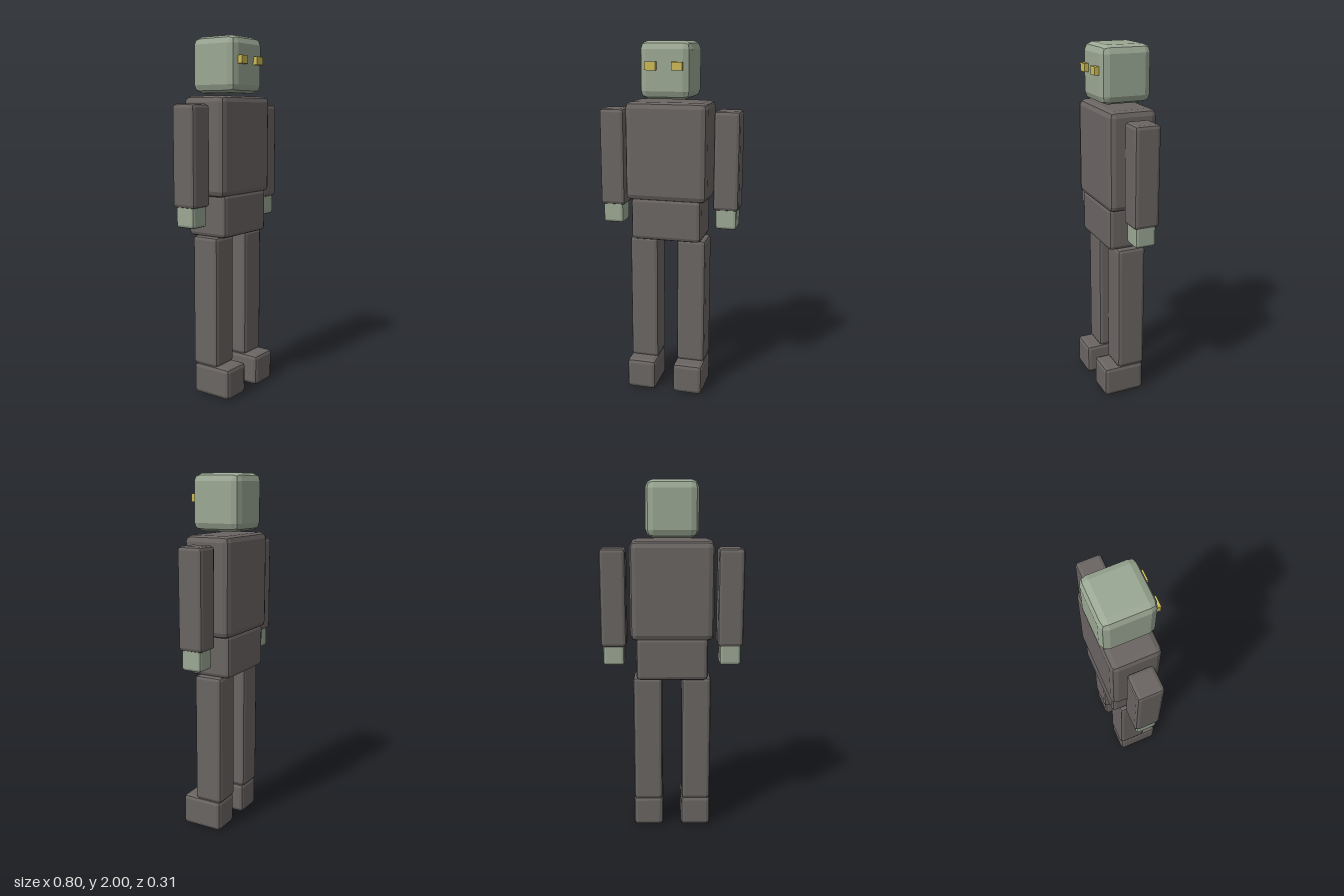
import * as THREE from 'three';
import { RoundedBoxGeometry } from 'three/addons/geometries/RoundedBoxGeometry.js';

export function createModel() {
  const model = new THREE.Group();
  model.name = 'blockFigure';

  const clothing = new THREE.MeshStandardMaterial({ color: 0x6a6563 });
  clothing.name = 'darkClothing';
  const skin = new THREE.MeshStandardMaterial({ color: 0x9ba894 });
  skin.name = 'sageSkin';
  const glow = new THREE.MeshStandardMaterial({ color: 0xcbbb57 });
  glow.name = 'yellowEyes';

  // Block from its extents on each axis; bevelled in two flat steps when radius > 0
  function block(name, material, [x0, x1], [y0, y1], [z0, z1], radius) {
    const size = [x1 - x0, y1 - y0, z1 - z0];
    const geometry = radius
      ? new RoundedBoxGeometry(...size, 1, radius)
      : new THREE.BoxGeometry(...size);
    if (radius) geometry.computeVertexNormals(); // unshared corners give flat facets
    const mesh = new THREE.Mesh(geometry, material);
    mesh.name = name;
    mesh.position.set((x0 + x1) / 2, (y0 + y1) / 2, (z0 + z1) / 2);
    model.add(mesh);
  }

  // The same block on the left (+x) and right (-x) sides
  function pair(name, material, [x0, x1], y, z, radius) {
    block('left' + name, material, [x0, x1], y, z, radius);
    block('right' + name, material, [-x1, -x0], y, z, radius);
  }

  // Head and body
  block('head', skin, [-0.143, 0.143], [1.696, 2], [-0.156, 0.131], 0.043);
  block('torso', clothing, [-0.231, 0.231], [1.134, 1.679], [-0.146, 0.125], 0.033);
  block('pelvis', clothing, [-0.2, 0.2], [0.908, 1.15], [-0.136, 0.116], 0.022);

  // Eyes stand out from the face
  pair('Eye', glow, [0.042, 0.102], [1.849, 1.893], [0.12, 0.155], 0);

  // Arms and hands
  pair('Arm', clothing, [0.255, 0.399], [1.087, 1.635], [-0.085, 0.06], 0.02);
  pair('Hand', skin, [0.268, 0.388], [0.98, 1.11], [-0.071, 0.048], 0.016);

  // Legs and feet
  pair('Leg', clothing, [0.055, 0.221], [0.17, 0.912], [-0.093, 0.073], 0.02);
  pair('Foot', clothing, [0.052, 0.224], [0, 0.178], [-0.087, 0.155], 0.022);

  return model;
}
